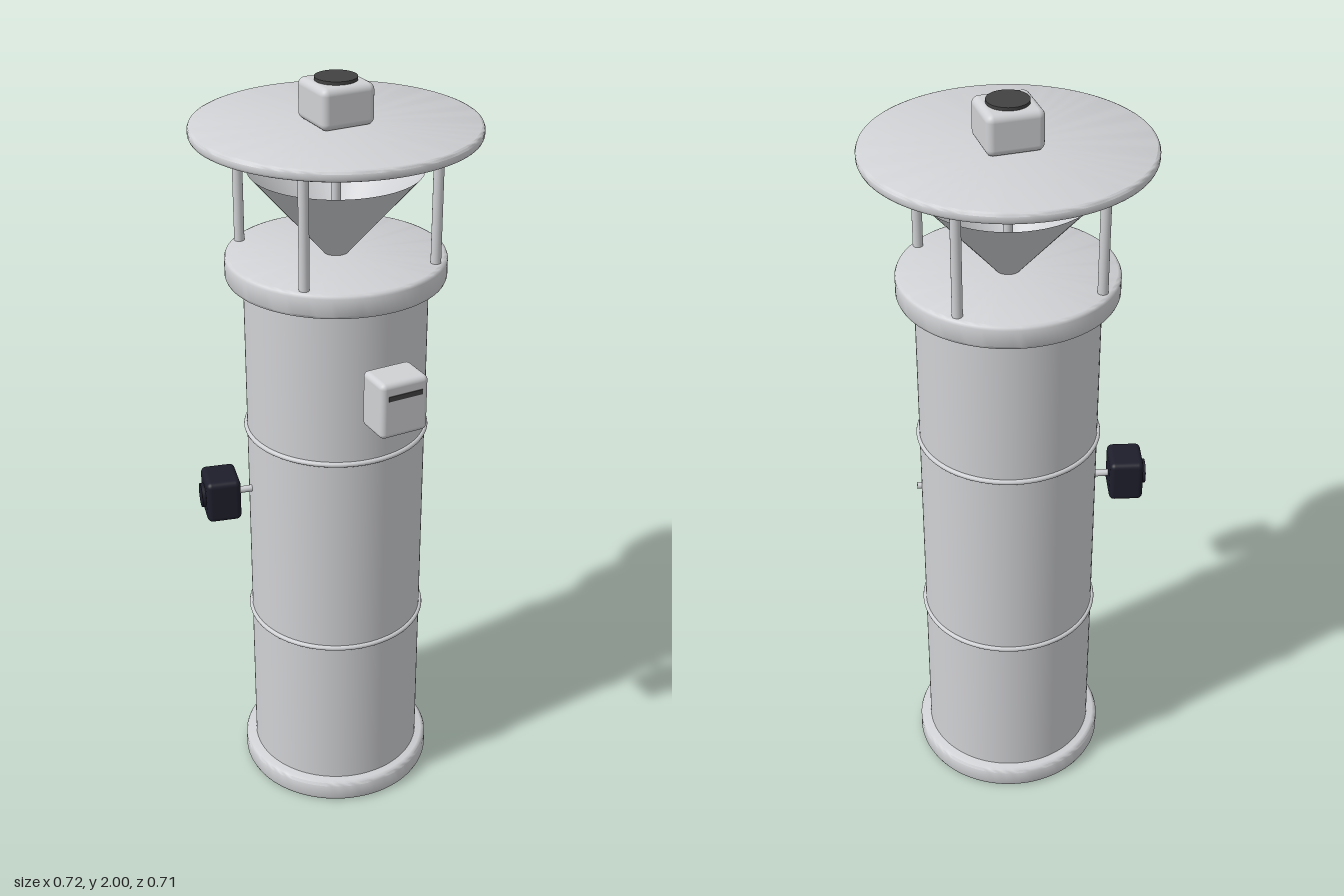
import * as THREE from 'three';
import { RoundedBoxGeometry } from 'three/addons/geometries/RoundedBoxGeometry.js';
import { toCreasedNormals } from 'three/addons/utils/BufferGeometryUtils.js';

function mat(name, color, extra = {}) {
  const m = new THREE.MeshStandardMaterial({ color, ...extra });
  m.name = name;
  return m;
}

export function createModel() {
  const grey = mat('light grey metal', 0xd0d1d4);
  const greySheet = mat('light grey sheet', 0xd0d1d4, { side: THREE.DoubleSide });
  const dark = mat('dark grey', 0x424242);
  const black = mat('blue black', 0x1e1e2c);

  const model = new THREE.Group();
  model.name = 'ventedColumn';
  const column = new THREE.Group();
  column.name = 'column';
  column.position.set(0.006, 0, -0.002);
  column.rotation.y = -0.03;
  model.add(column);

  function add(name, geometry, material, x = 0, y = 0, z = 0, parent = column) {
    const mesh = new THREE.Mesh(geometry, material);
    mesh.name = name;
    mesh.position.set(x, y, z);
    parent.add(mesh);
    return mesh;
  }

  // Disc with softly bevelled rims, from y0 to y1
  function disc(name, radius, y0, y1, bevel) {
    const points = [
      [0, y0], [radius - bevel, y0], [radius - bevel * 0.3, y0 + bevel * 0.3], [radius, y0 + bevel],
      [radius, y1 - bevel], [radius - bevel * 0.3, y1 - bevel * 0.3], [radius - bevel, y1], [0, y1],
    ].map(([r, y]) => new THREE.Vector2(r, y));
    return add(name, toCreasedNormals(new THREE.LatheGeometry(points, 96), 0.85), grey);
  }

  // Upright rod from y0 to y1
  function rod(name, radius, y0, y1, x, z) {
    return add(name, new THREE.CylinderGeometry(radius, radius, y1 - y0, 20), grey, x, (y0 + y1) / 2, z);
  }

  // Main column with its base and collar
  disc('base', 0.262, 0, 0.063, 0.012);
  add('columnBody', new THREE.CylinderGeometry(0.233, 0.233, 1.46, 96), grey, 0, 0.78);
  disc('collar', 0.278, 1.497, 1.56, 0.01);
  for (const y of [0.513, 1.081]) {
    add('band', new THREE.TorusGeometry(0.234, 0.007, 10, 96).rotateX(Math.PI / 2), grey, 0, y);
  }

  // Open funnel below the rain cap
  add('funnel', new THREE.CylinderGeometry(0.217, 0.03, 0.215, 72, 1, true), greySheet, 0, 1.666);
  rod('centreRod', 0.012, 1.56, 1.87, 0, 0);

  // Rain cap on four posts
  for (let i = 0; i < 4; i++) {
    const a = Math.PI / 4 + i * Math.PI / 2;
    rod('capPost', 0.013, 1.55, 1.87, 0.255 * Math.cos(a), 0.255 * Math.sin(a));
  }
  disc('rainCap', 0.355, 1.862, 1.89, 0.008);

  // Sensor box on the cap
  add('topBox', new RoundedBoxGeometry(0.142, 0.102, 0.142, 4, 0.018), grey, 0, 1.941);
  add('topDisc', new THREE.CylinderGeometry(0.052, 0.052, 0.014, 48), dark, 0, 1.993);

  // Front box with a slotted display and a short mount
  add('frontBox', new RoundedBoxGeometry(0.13, 0.148, 0.1, 4, 0.014), grey, 0, 1.283, 0.305);
  add('frontSlot', new THREE.BoxGeometry(0.092, 0.013, 0.004), dark, 0, 1.318, 0.355);
  add('frontMount', new THREE.CylinderGeometry(0.012, 0.012, 0.06, 20).rotateX(Math.PI / 2), grey, 0, 1.275, 0.245);

  // Side arm running through the column, carrying the dark box
  const arm = new THREE.Group();
  arm.name = 'sideArm';
  arm.position.y = 0.915;
  arm.rotation.y = -0.19;
  column.add(arm);
  add('armRod', new THREE.CylinderGeometry(0.009, 0.009, 0.54, 20).rotateZ(Math.PI / 2), grey, -0.025, 0, 0, arm);

  const sideBox = new THREE.Group();
  sideBox.name = 'sideBox';
  sideBox.position.x = -0.316;
  sideBox.rotation.y = -0.06;
  arm.add(sideBox);
  add('sideBoxShell', new RoundedBoxGeometry(0.09, 0.116, 0.11, 4, 0.014), black, 0, 0, 0, sideBox);
  add('sideLens', new THREE.CylinderGeometry(0.032, 0.032, 0.014, 40).rotateZ(Math.PI / 2), black, -0.047, 0, 0, sideBox);

  return model;
}
